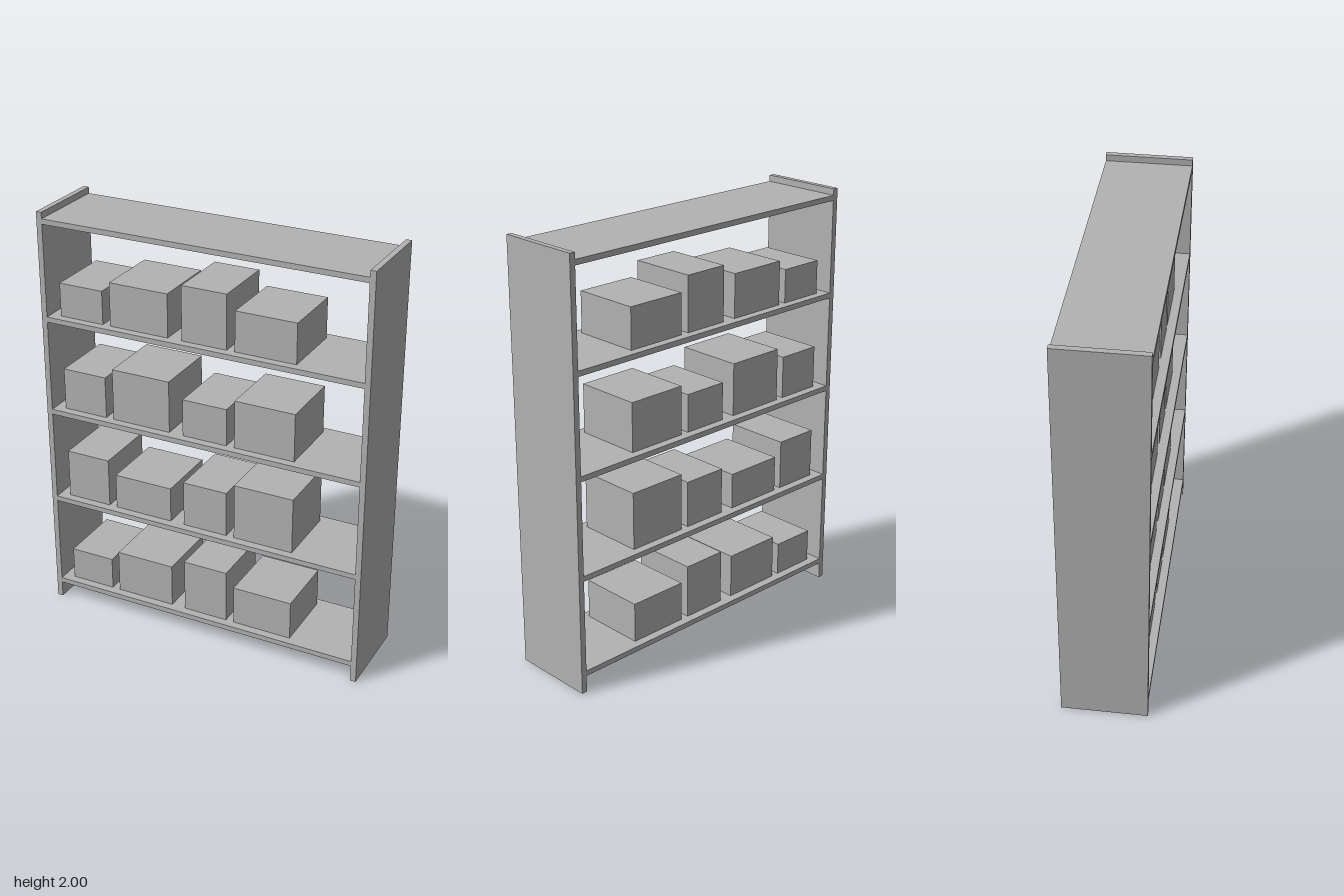
import * as THREE from 'three';

export function createModel() {
  const group = new THREE.Group();
  group.name = 'shelvingUnit';
  const grey = new THREE.MeshStandardMaterial({ color: 0xb2b2b2 });
  grey.name = 'plain grey';

  const DEPTH = 0.4, WIDTH = 1.6, HEIGHT = 2, PANEL = 0.027, SHELF = 0.025;

  // Box standing on the given base height
  function addBox(name, w, h, d, x, base) {
    const mesh = new THREE.Mesh(new THREE.BoxGeometry(w, h, d), grey);
    mesh.name = name;
    mesh.position.set(x, base + h / 2, 0);
    group.add(mesh);
  }

  // Side panels
  for (const [name, s] of [['leftPanel', 1], ['rightPanel', -1]]) {
    addBox(name, PANEL, HEIGHT, DEPTH, s * (WIDTH - PANEL) / 2, 0);
  }

  // Storage boxes: centre and width by column, heights by shelf
  const columns = [[-0.613, 0.22], [-0.318, 0.292], [0.007, 0.22], [0.302, 0.292]];
  const heights = [
    [0.16, 0.212, 0.26, 0.191],
    [0.238, 0.172, 0.222, 0.273],
    [0.202, 0.252, 0.18, 0.231],
    [0.16, 0.208, 0.26, 0.191],
  ];

  // Shelves, the topmost one left empty
  for (let i = 0; i < 5; i++) {
    const top = 0.105 + i * 0.4663;
    addBox(`shelf${i + 1}`, WIDTH - 2 * PANEL, SHELF, DEPTH, 0, top - SHELF);
    (heights[i] ?? []).forEach((h, j) => {
      const [x, w] = columns[j];
      addBox(`storageBox${i + 1}_${j + 1}`, w, h, 0.32, x, top);
    });
  }
  return group;
}
